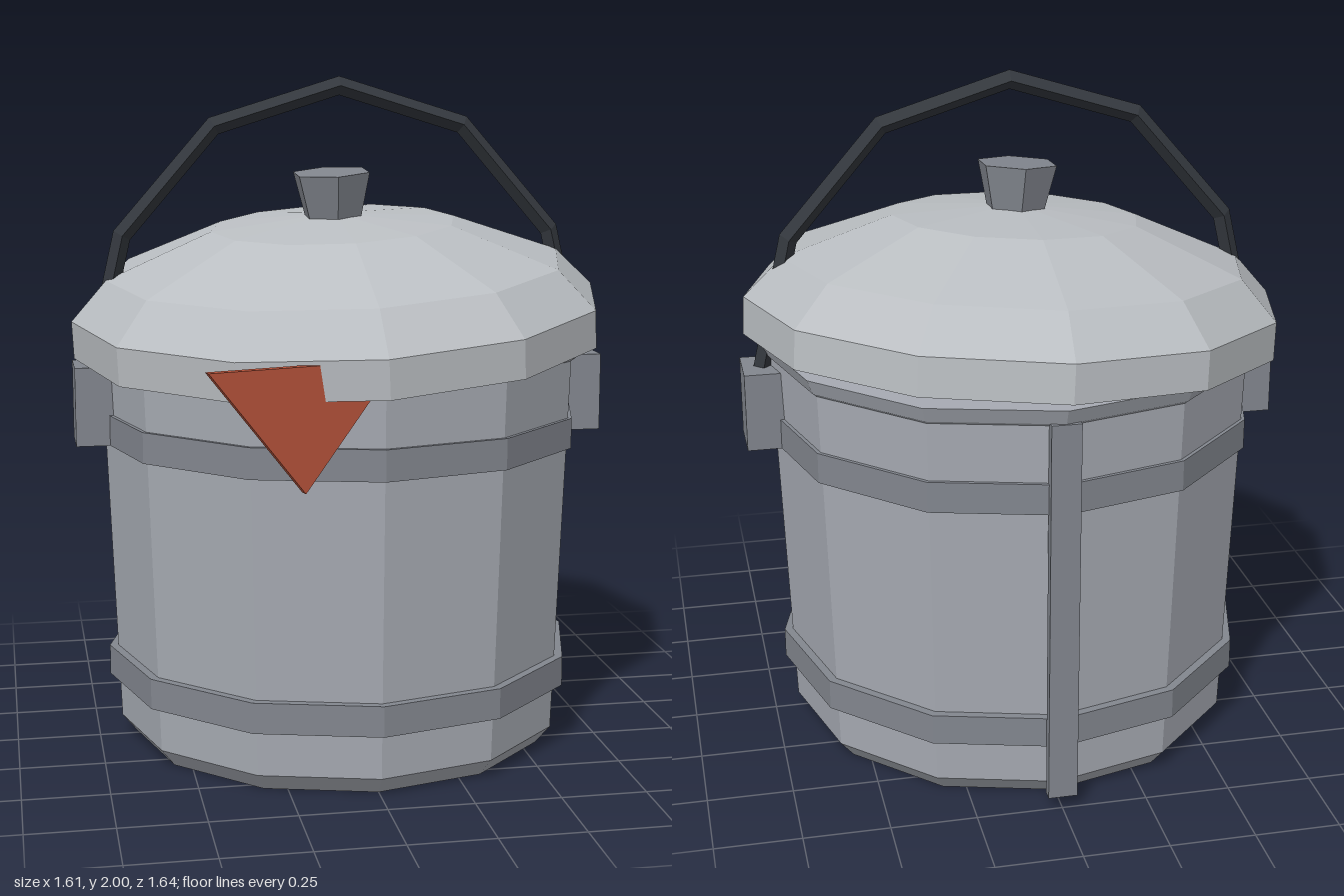
import * as THREE from 'three';

const SIDES = 12;
const material = (color) =>
  new THREE.MeshStandardMaterial({ color, flatShading: true, side: THREE.DoubleSide });

export function createModel() {
  const model = new THREE.Group();
  const body = material(0xa6aab2);
  const trim = material(0x82868e);
  const lidMat = material(0xbabec2);
  const dark = material(0x33373d);
  const red = material(0xb5523a);

  const add = (parent, name, geometry, mat, x = 0, y = 0, z = 0) => {
    const mesh = new THREE.Mesh(geometry, mat);
    mesh.name = name;
    mesh.position.set(x, y, z);
    parent.add(mesh);
    return mesh;
  };
  // Faceted solid of revolution from [radius, height] pairs
  const turned = (points) =>
    new THREE.LatheGeometry(points.map(([r, y]) => new THREE.Vector2(r, y)), SIDES);

  const pail = new THREE.Group();
  pail.name = 'pail';
  pail.position.z = -0.017;
  model.add(pail);

  // Tapered body with chamfered foot and slightly flared rim
  add(pail, 'body', turned([
    [0, 0], [0.635, 0], [0.68, 0.055], [0.722, 1.18], [0.735, 1.19], [0.754, 1.235], [0, 1.235],
  ]), body);

  // Hoops around the body
  for (const [name, r, y0, y1] of [['lowerHoop', 0.714, 0.19, 0.28], ['upperHoop', 0.727, 0.92, 1.01]]) {
    add(pail, name, new THREE.CylinderGeometry(r, r, y1 - y0, SIDES), trim, 0, (y0 + y1) / 2);
  }

  // Handle lugs on both sides
  for (const side of [-1, 1]) {
    add(pail, side > 0 ? 'leftLug' : 'rightLug',
      new THREE.BoxGeometry(0.12, 0.235, 0.165), trim, side * 0.745, 1.037);
  }

  // Vertical strip down the back seam
  add(pail, 'backStrip', new THREE.BoxGeometry(0.085, 1.15, 0.032), trim, 0, 0.615, -0.724);

  // Arched handle with a diamond section
  const arch = new THREE.TorusGeometry(1, 0.028, 4, 6, Math.PI);
  const pos = arch.attributes.position;
  for (let i = 0; i < pos.count; i++) {
    const x = pos.getX(i), y = pos.getY(i);
    const r = Math.hypot(x, y), a = Math.atan2(y, x);
    pos.setXY(i, Math.cos(a) * (r - 0.245), Math.sin(a) * (r - 0.128));
  }
  add(pail, 'handle', arch, dark, 0, 1.1);

  // Domed lid and its knob, sitting crooked on the rim
  const lid = new THREE.Group();
  lid.name = 'lidAssembly';
  lid.position.set(-0.003, 1.213, -0.003);
  lid.rotation.set(0.07, 0, 0.053);
  pail.add(lid);
  add(lid, 'lid', turned([
    [0, 0], [0.8, 0], [0.8, 0.112], [0.69, 0.228], [0.37, 0.352], [0, 0.385],
  ]), lidMat);
  add(lid, 'knob', new THREE.CylinderGeometry(0.122, 0.088, 0.14, 6), trim, 0, 0.437);

  // Triangular red pennant at the front
  const triangle = new THREE.Shape([
    new THREE.Vector2(-0.275, 1.25), new THREE.Vector2(0, 0.905), new THREE.Vector2(0.275, 1.25),
  ]);
  const pennant = new THREE.ExtrudeGeometry(triangle, { depth: 0.026, bevelEnabled: false });
  pennant.translate(0, 0, -0.013);
  add(model, 'pennant', pennant, red, -0.23, 0, 0.735).rotation.y = 0.26;

  return model;
}
